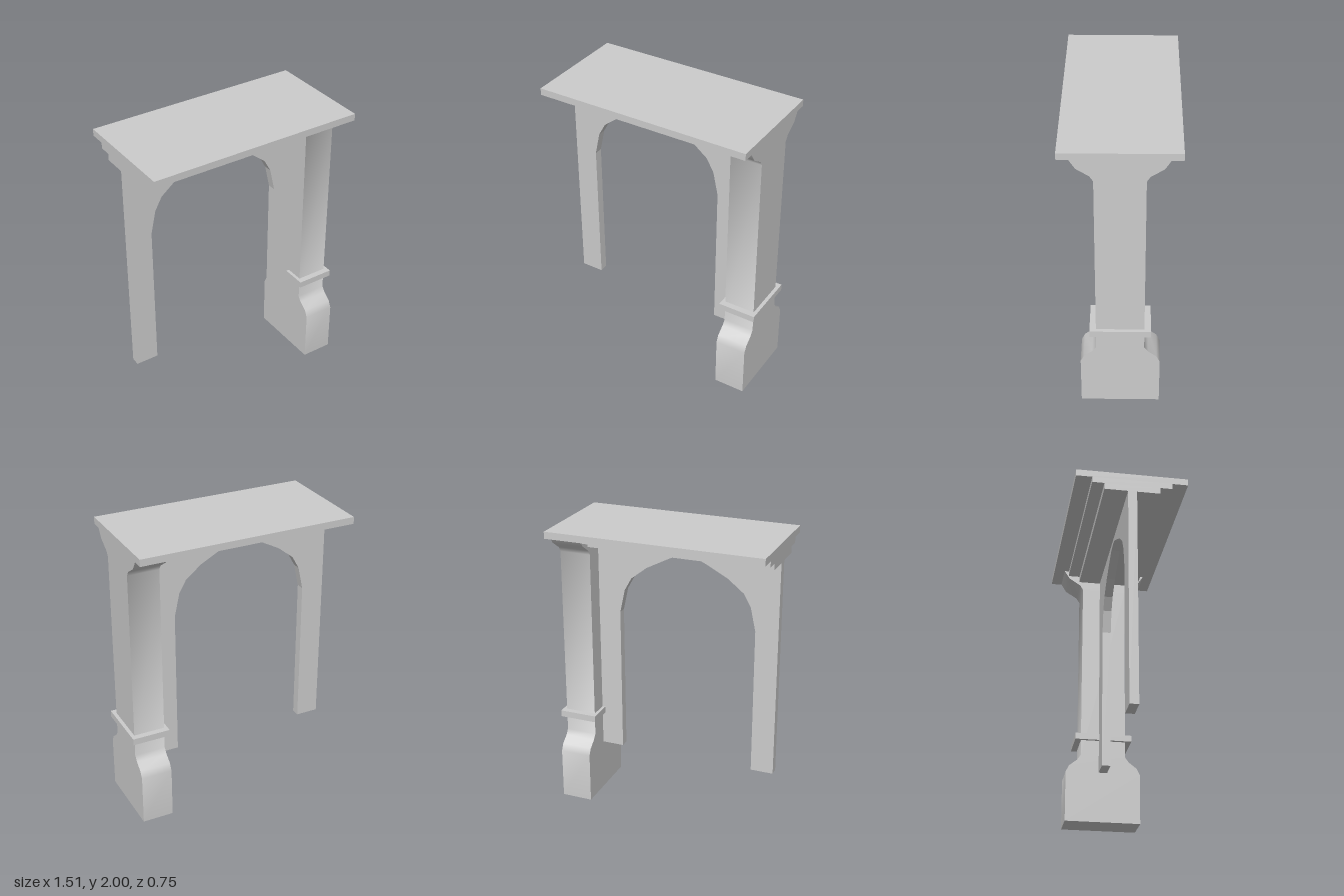
import * as THREE from 'three';
import { toCreasedNormals } from 'three/addons/utils/BufferGeometryUtils.js';

const material = new THREE.MeshStandardMaterial({ color: 0xcccccc });

export function createModel() {
  const group = new THREE.Group();

  const add = (name, geometry) => {
    const mesh = new THREE.Mesh(geometry, material);
    mesh.name = name;
    group.add(mesh);
    return mesh;
  };

  // Box given by its extents; z is symmetric about 0
  const box = (name, x0, x1, y0, y1, halfZ) =>
    add(name, new THREE.BoxGeometry(x1 - x0, y1 - y0, halfZ * 2))
      .position.set((x0 + x1) / 2, (y0 + y1) / 2, 0);

  // Closed outline from one half, mirrored across the vertical axis
  const mirrored = (half) => new THREE.Shape(
    [...half, ...half.slice().reverse().map(([u, v]) => [-u, v])]
      .map(([u, v]) => new THREE.Vector2(u, v)));

  const extrude = (shape, depth) =>
    new THREE.ExtrudeGeometry(shape, { depth, bevelEnabled: false }).translate(0, 0, -depth / 2);

  // Flat top slab and the stepped cornice below it
  box('topSlab', -0.757, 0.73, 1.953, 2, 0.375);
  box('upperCornice', -0.757, 0.52, 1.913, 1.953, 0.268);
  box('lowerCornice', -0.757, 0.52, 1.868, 1.913, 0.187);

  // Thin arched panel: outer edge, then up and over the opening
  const outer = 0.637, foot = 0.358, top = 1.868;
  const opening = [[0.48, foot], [0.48, 1.38], [0.445, 1.54], [0.395, 1.63],
    [0.285, 1.717], [0.137, 1.795], [0.066, 1.828]];
  const arch = [[outer, top], [outer, foot], ...opening, [0, 1.837],
    ...opening.slice().reverse().map(([u, v]) => [-u, v]), [-outer, foot], [-outer, top]];
  const archShape = new THREE.Shape(arch.map(([u, v]) => new THREE.Vector2(u, v)));
  add('archPanel', extrude(archShape, 0.06)).position.x = -0.12;

  // Pillar with flared base and capital: side profile extruded along x
  const profile = mirrored([[0.263, 0], [0.263, 0.355], [0.24, 0.402], [0.185, 0.445],
    [0.158, 0.482], [0.158, 1.805], [0.18, 1.84], [0.262, 1.893], [0.3, 1.953]]);
  const pillar = extrude(profile, 0.216).rotateY(Math.PI / 2);
  add('pillar', toCreasedNormals(pillar, 0.75)).position.x = 0.622;

  // Collar around the pillar
  box('pillarCollar', 0.492, 0.755, 0.595, 0.64, 0.2);

  return group;
}
